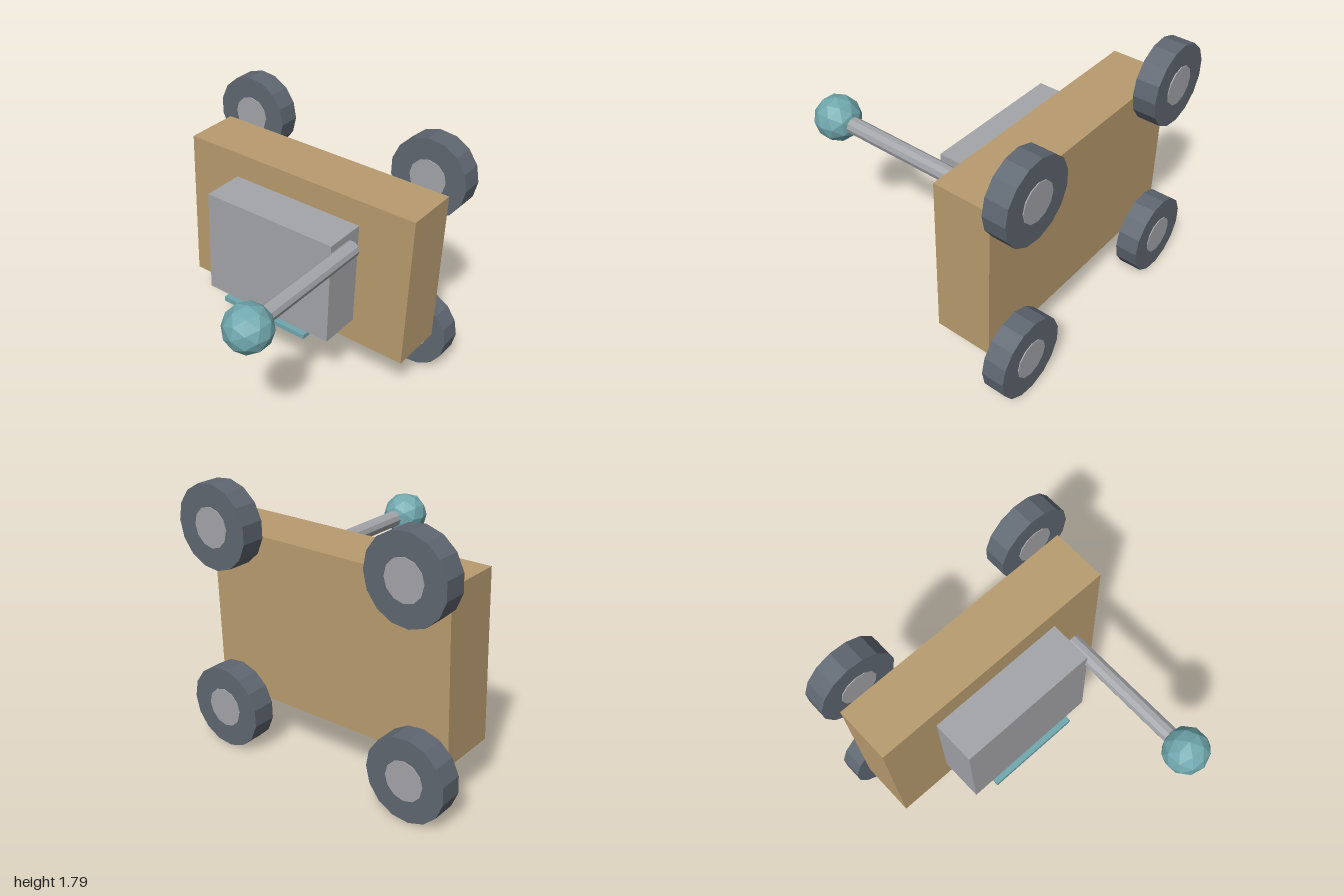
import * as THREE from 'three';

const paint = (name, color) => {
  const m = new THREE.MeshStandardMaterial({ color, flatShading: true });
  m.name = name;
  return m;
};

export function createModel() {
  const tan = paint('tan', 0xb99c6f);
  const grey = paint('grey', 0xa4a5a9);
  const teal = paint('teal', 0x70a8ae);
  const slate = paint('slate', 0x5f6771);

  const model = new THREE.Group();
  model.name = 'leverCart';

  const add = (name, geometry, material, x, y, z, parent = model) => {
    const mesh = new THREE.Mesh(geometry, material);
    mesh.name = name;
    mesh.position.set(x, y, z);
    parent.add(mesh);
    return mesh;
  };

  // Cylinder lying along z, with a corner pointing to +x
  const zCylinder = (radius, length, sides) =>
    new THREE.CylinderGeometry(radius, radius, length, sides)
      .rotateY(Math.PI / 2)
      .rotateX(Math.PI / 2);

  // Body, housing and the ledge under it
  const cx = -0.003;
  add('body', new THREE.BoxGeometry(1.81, 1.115, 0.4), tan, cx, 0.897, -0.563);
  add('housing', new THREE.BoxGeometry(1.01, 0.757, 0.307), grey, cx, 0.895, -0.21);
  add('ledge', new THREE.BoxGeometry(0.69, 0.035, 0.322), teal, cx, 0.499, -0.177);

  // Lever and its faceted knob
  add('leverRod', zCylinder(0.057, 0.96, 10), grey, 0.542, 1.186, 0.246);
  add('leverKnob', new THREE.IcosahedronGeometry(0.157, 1), teal, 0.542, 1.186, 0.796);

  // Four wheels, each with a hub slightly proud of both faces
  const tyre = zCylinder(0.277, 0.157, 15);
  const hub = zCylinder(0.132, 0.17, 12);
  for (const sx of [-1, 1]) {
    for (const y of [0.276, 1.512]) {
      const wheel = new THREE.Group();
      wheel.name = `${y > 1 ? 'upper' : 'lower'}${sx > 0 ? 'Left' : 'Right'}Wheel`;
      wheel.position.set(cx + sx * 0.7255, y, -0.867);
      add('tyre', tyre, slate, 0, 0, 0, wheel);
      add('hub', hub, grey, 0, 0, 0, wheel);
      model.add(wheel);
    }
  }

  return model;
}
